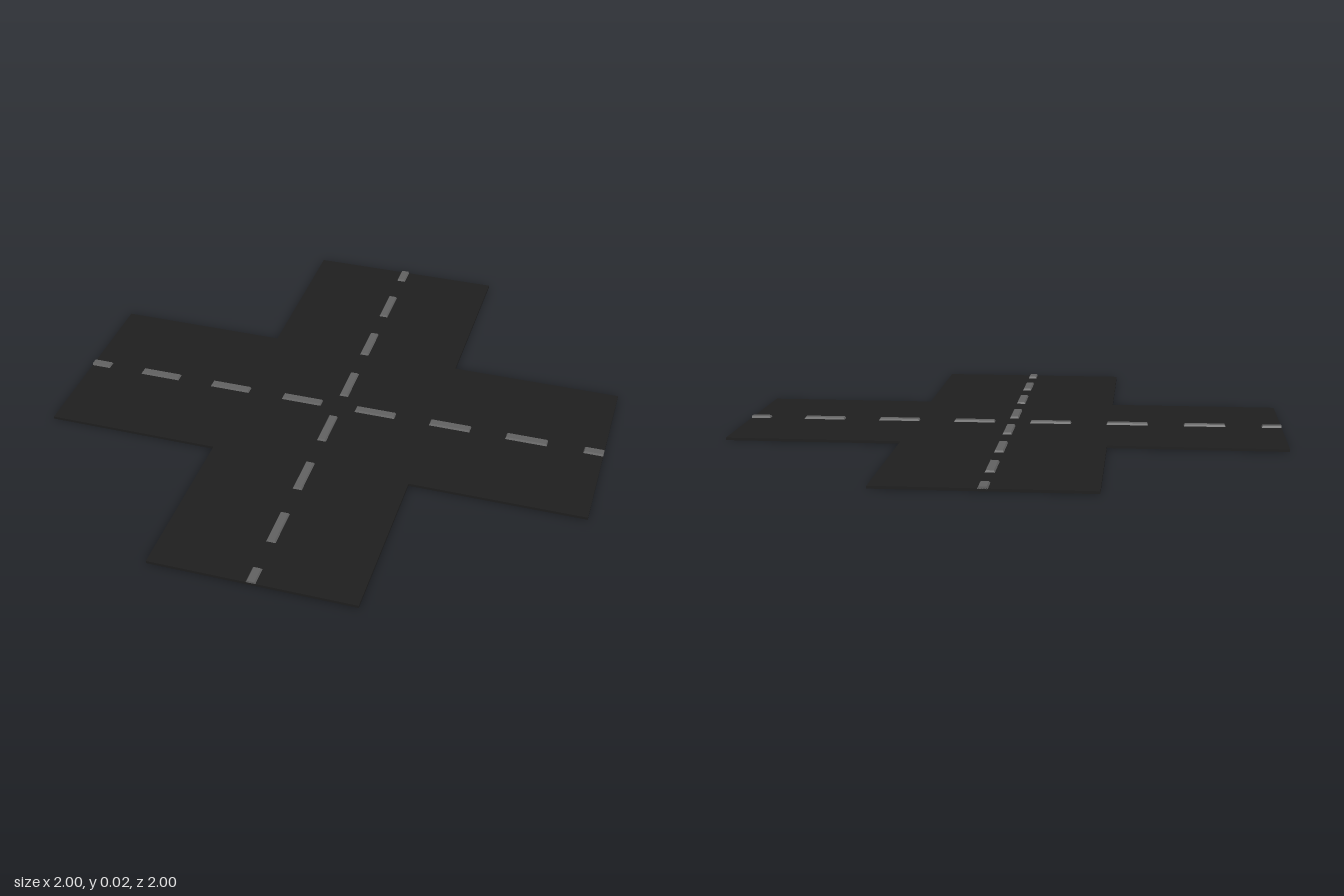
import * as THREE from 'three';

const ROAD_HALF = 0.366;   // half the road width
const SLAB = 0.009;        // slab thickness
const DASH_TOP = 0.016;    // height of the dash tops
const DASH_WIDTH = 0.036;
const DASH_LENGTH = 0.156;
const PITCH = 0.287;
const BEVEL = 0.005;

const asphalt = new THREE.MeshStandardMaterial({ color: 0x1e1e1e });
const paint = new THREE.MeshStandardMaterial({ color: 0x606060, flatShading: true });

// Cross-shaped slab
function crossSlab() {
  const r = ROAD_HALF;
  const shape = new THREE.Shape([
    [-r, -1], [r, -1], [r, -r], [1, -r], [1, r], [r, r],
    [r, 1], [-r, 1], [-r, r], [-1, r], [-1, -r], [-r, -r],
  ].map(([x, y]) => new THREE.Vector2(x, y)));
  const geometry = new THREE.ExtrudeGeometry(shape, { depth: SLAB, bevelEnabled: false });
  geometry.rotateX(-Math.PI / 2);
  return geometry;
}

// Raised dash from x0 to x1 with sloping sides; an end cut by the road edge stays upright
function dashGeometry(x0, x1) {
  const base = SLAB - 0.002;
  const geometry = new THREE.BoxGeometry(x1 - x0, DASH_TOP - base, DASH_WIDTH);
  geometry.translate((x0 + x1) / 2, (DASH_TOP + base) / 2, 0);
  const p = geometry.attributes.position;
  for (let i = 0; i < p.count; i++) {
    if (p.getY(i) < DASH_TOP - 0.001) continue;
    const x = p.getX(i);
    if (x < 0.999) p.setX(i, x + (x < (x0 + x1) / 2 ? BEVEL : -BEVEL));
    p.setZ(i, p.getZ(i) - Math.sign(p.getZ(i)) * BEVEL);
  }
  geometry.computeVertexNormals();
  return geometry;
}

export function createModel() {
  const group = new THREE.Group();
  group.name = 'roadCrossing';

  const road = new THREE.Mesh(crossSlab(), asphalt);
  road.name = 'roadSlab';
  group.add(road);

  // Centre-line dashes, repeated on the four arms
  for (let arm = 0; arm < 4; arm++) {
    const line = new THREE.Group();
    line.name = 'centreLine';
    for (let i = 0; i < 4; i++) {
      const centre = (i + 0.5) * PITCH;
      const end = Math.min(centre + DASH_LENGTH / 2, 1);
      const dash = new THREE.Mesh(dashGeometry(centre - DASH_LENGTH / 2, end), paint);
      dash.name = 'laneDash';
      line.add(dash);
    }
    line.rotation.y = arm * Math.PI / 2;
    group.add(line);
  }
  return group;
}
